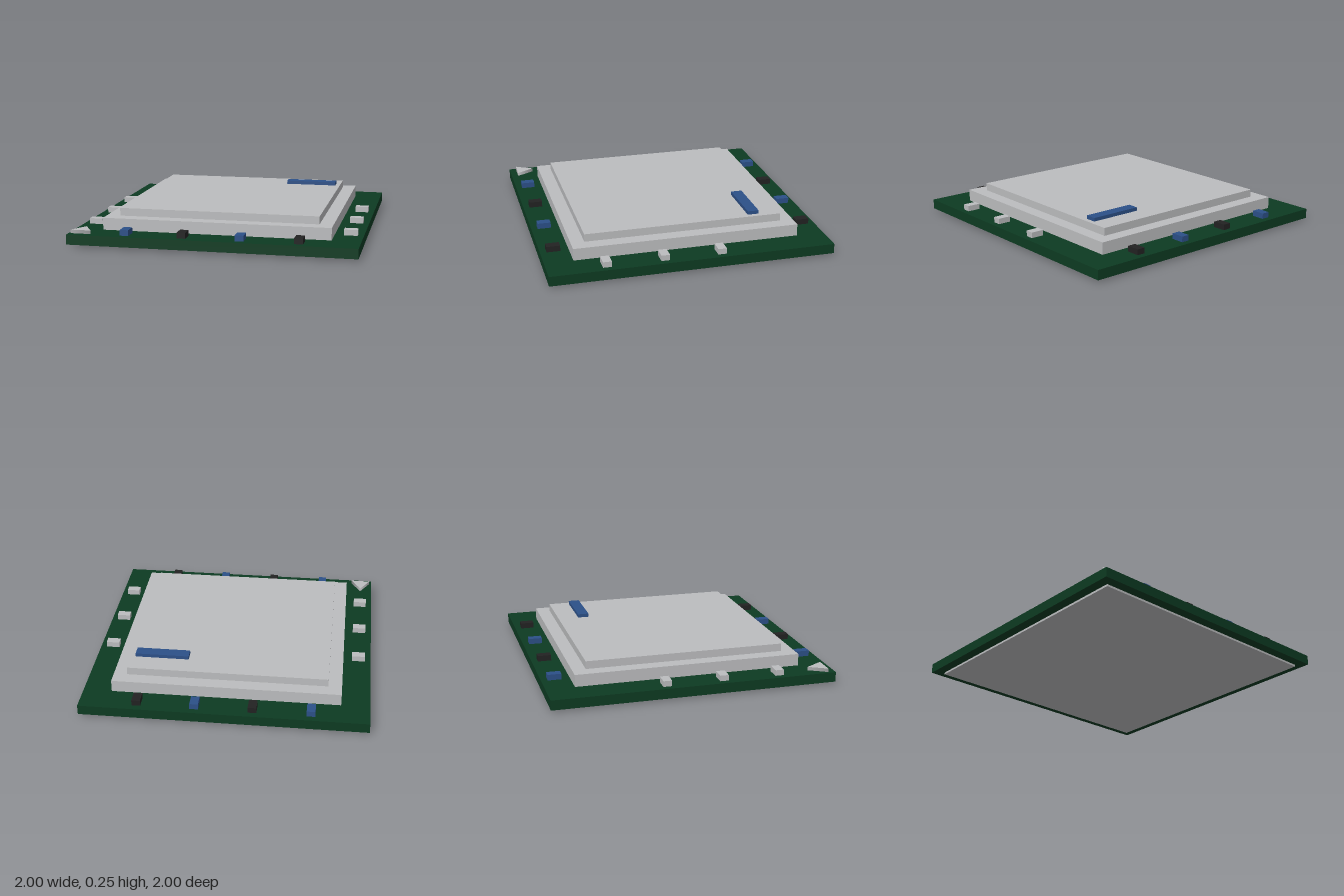
import * as THREE from 'three';

function material(name, color) {
  const m = new THREE.MeshStandardMaterial({ color });
  m.name = name;
  return m;
}

export function createModel() {
  const green = material('board green', 0x0d3b22);
  const silver = material('silver', 0xbcbdbf);
  const blue = material('blue', 0x2c5088);
  const black = material('black', 0x222222);

  const model = new THREE.Group();
  model.name = 'processorChip';

  // Box standing on height y, centred on x and z
  function box(name, mat, w, h, d, x, y, z) {
    const mesh = new THREE.Mesh(new THREE.BoxGeometry(w, h, d), mat);
    mesh.name = name;
    mesh.position.set(x, y + h / 2, z);
    model.add(mesh);
  }

  // Contact plate, circuit board and stepped heat spreader
  const top = 0.085;
  box('contactPlate', silver, 1.86, 0.015, 1.86, 0, 0, 0);
  box('circuitBoard', green, 2, 0.07, 2, 0, 0.015, 0);
  box('heatSpreaderBase', silver, 1.6, 0.085, 1.6, 0, top, 0);
  box('heatSpreaderTop', silver, 1.41, 0.055, 1.41, 0, 0.17, 0);
  box('labelBar', blue, 0.38, 0.025, 0.08, 0.48, 0.225, -0.515);

  // Alternating components along the front and back edges
  for (const side of [1, -1]) {
    [-0.6, -0.2, 0.2, 0.6].forEach((x, i) => {
      box('edgeComponent', i % 2 ? black : blue, 0.06, 0.04, 0.095, x, top, side * 0.907);
    });
    // Silver capacitors along the left and right edges
    for (const z of [-0.2, 0.2, 0.6]) {
      box('capacitor', silver, 0.095, 0.04, 0.06, side * 0.91, top, z);
    }
  }

  // Triangular orientation mark in the front corner
  const mark = new THREE.Mesh(new THREE.CylinderGeometry(0.084, 0.084, 0.025, 3, 1, false, Math.PI), silver);
  mark.name = 'cornerMark';
  mark.position.set(-0.912, top + 0.0125, 0.908);
  model.add(mark);

  return model;
}
